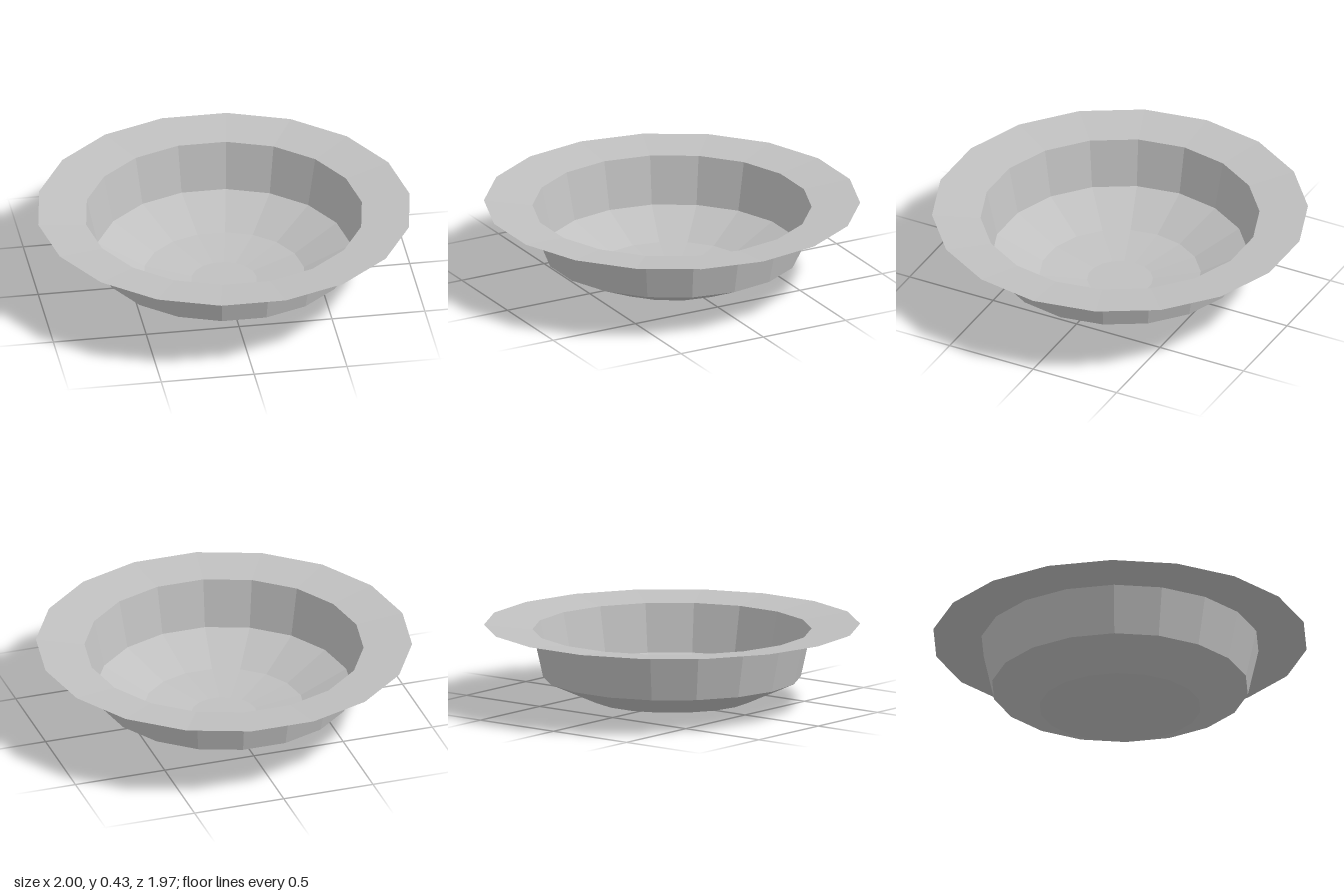
import * as THREE from 'three';

const SIDES = 18;

export function createModel() {
  const group = new THREE.Group();
  group.name = 'dish';
  const grey = new THREE.MeshStandardMaterial({
    color: 0xc0c0c0, flatShading: true, side: THREE.DoubleSide,
  });
  grey.name = 'grey';

  // Thin faceted ring through [radius, height] points, with a corner on +x
  const addRing = (name, profile) => {
    const points = profile.map(([r, y]) => new THREE.Vector2(r, y));
    const mesh = new THREE.Mesh(new THREE.LatheGeometry(points, SIDES, Math.PI / 2), grey);
    mesh.name = name;
    group.add(mesh);
  };

  // Flat base disc, facing down
  const base = new THREE.Mesh(new THREE.CircleGeometry(0.175, SIDES), grey);
  base.rotation.x = Math.PI / 2;
  base.name = 'base';
  group.add(base);

  addRing('bowlFloor', [[0.175, 0], [0.43, 0.033], [0.685, 0.148]]);
  addRing('wall', [[0.685, 0.148], [0.742, 0.406]]);
  addRing('rim', [[0.742, 0.406], [1, 0.431]]);

  return group;
}
